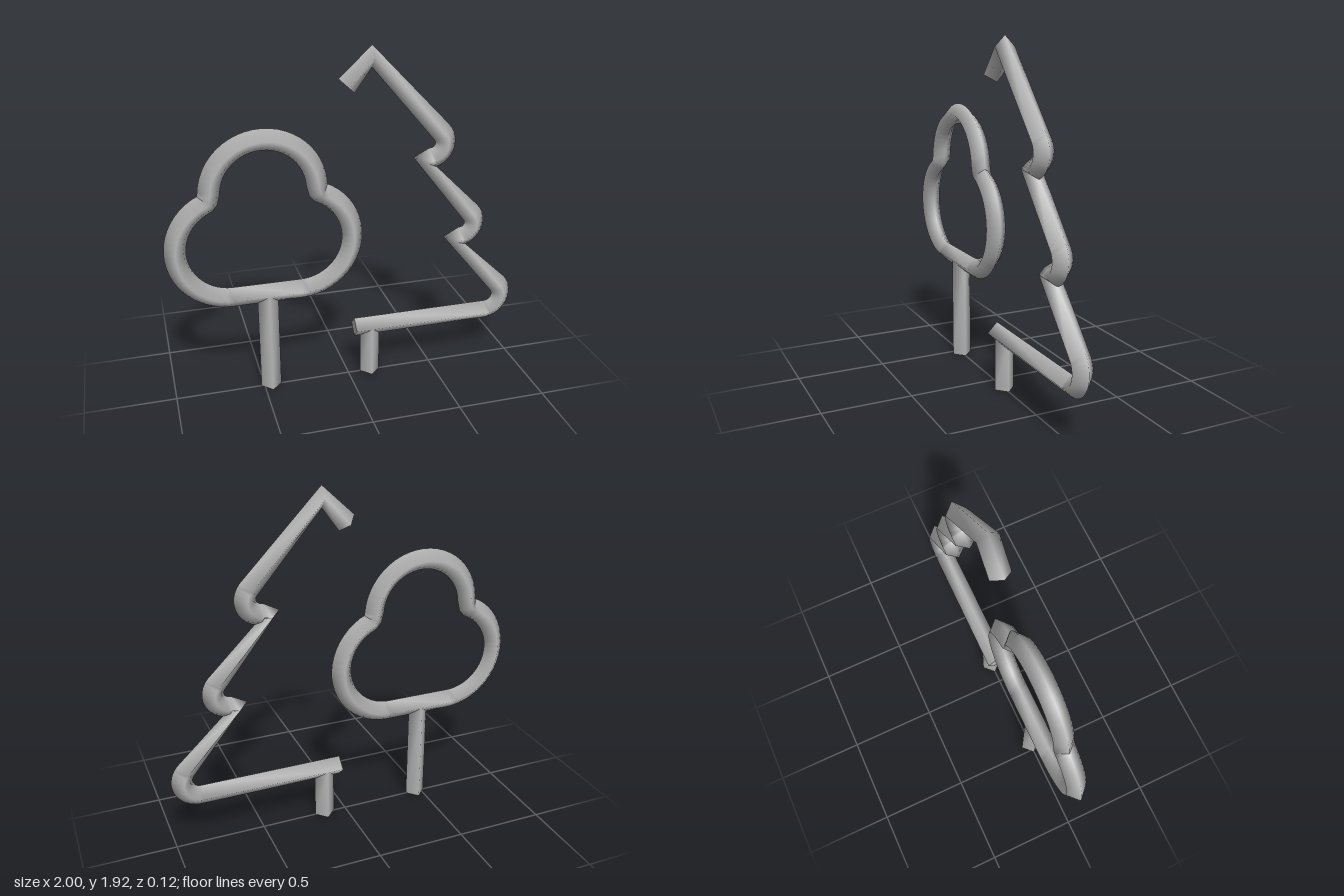
import * as THREE from 'three';

const R = 0.058; // half-width of the diamond-section rod

// Points on an arc, angles in degrees
function arc(cx, cy, r, from, to, steps) {
  return Array.from({ length: steps + 1 }, (_, i) => {
    const a = THREE.MathUtils.degToRad(from + ((to - from) * i) / steps);
    return new THREE.Vector2(cx + r * Math.cos(a), cy + r * Math.sin(a));
  });
}

// Sweep a diamond section along a flat path; sharp corners pinch, as the section is not widened there
function rod(name, path, material, closed = false) {
  const n = path.length;
  const pos = [];
  const index = [];
  const dir = (a, b) => b.clone().sub(a).normalize();
  const rings = path.map((p, i) => {
    const t = new THREE.Vector2();
    if (closed || i > 0) t.add(dir(path[(i + n - 1) % n], p));
    if (closed || i < n - 1) t.add(dir(p, path[(i + 1) % n]));
    t.normalize().multiplyScalar(R);
    return [
      [p.x - t.y, p.y + t.x, 0], [p.x, p.y, R],
      [p.x + t.y, p.y - t.x, 0], [p.x, p.y, -R],
    ];
  });
  rings.forEach((ring) => ring.forEach((v) => pos.push(...v)));
  for (let i = 0; i < (closed ? n : n - 1); i++) {
    const j = (i + 1) % n;
    for (let k = 0; k < 4; k++) {
      const l = (k + 1) % 4;
      index.push(i * 4 + k, i * 4 + l, j * 4 + l, i * 4 + k, j * 4 + l, j * 4 + k);
    }
  }
  // Flat end caps with their own corners
  if (!closed) {
    for (const ring of [[...rings[0]].reverse(), rings[n - 1]]) {
      const s = pos.length / 3;
      ring.forEach((v) => pos.push(...v));
      index.push(s, s + 1, s + 2, s, s + 2, s + 3);
    }
  }
  const geo = new THREE.BufferGeometry();
  geo.setAttribute('position', new THREE.Float32BufferAttribute(pos, 3));
  geo.setIndex(index);
  geo.computeVertexNormals();
  const mesh = new THREE.Mesh(geo, material);
  mesh.name = name;
  return mesh;
}

export function createModel() {
  const grey = new THREE.MeshStandardMaterial({ color: 0xb8b8b8 });
  grey.name = 'grey';
  const P = (x, y) => new THREE.Vector2(x, y);
  const model = new THREE.Group();
  model.name = 'treeOutlines';

  // Round tree: three lobes, run clockwise from the lower left
  const mid = -0.46;
  const crown = [
    ...arc(mid - 0.19, 0.887, 0.291, 270, 114, 22),
    P(mid - 0.295, 1.168),
    ...arc(mid, 1.187, 0.287, 176, 4, 24),
    P(mid + 0.295, 1.168),
    ...arc(mid + 0.19, 0.887, 0.291, 66, -90, 22),
  ];
  const roundTree = new THREE.Group();
  roundTree.name = 'roundTree';
  roundTree.add(
    rod('roundCrown', crown, grey, true),
    rod('roundTrunk', [P(mid, 0), P(mid, 0.595)], grey),
  );

  // Fir tree: open half outline with two notched tiers and a rounded base corner
  const outline = [P(-0.01, 1.72), P(0.125, 1.867)];
  for (let i = 0; i < 2; i++) {
    const dx = 0.196 * i;
    const dy = -0.49 * i;
    outline.push(...arc(0.462 + dx, 1.375 + dy, 0.084, 42, -90, 12), P(0.42 + dx, 1.283 + dy));
  }
  outline.push(...arc(0.843, 0.4, 0.099, 40, -90, 12), P(0.035, 0.301));
  const firTree = new THREE.Group();
  firTree.name = 'firTree';
  firTree.add(
    rod('firOutline', outline, grey),
    rod('firTrunk', [P(0.128, 0), P(0.128, 0.301)], grey),
  );

  model.add(roundTree, firTree);
  return model;
}
